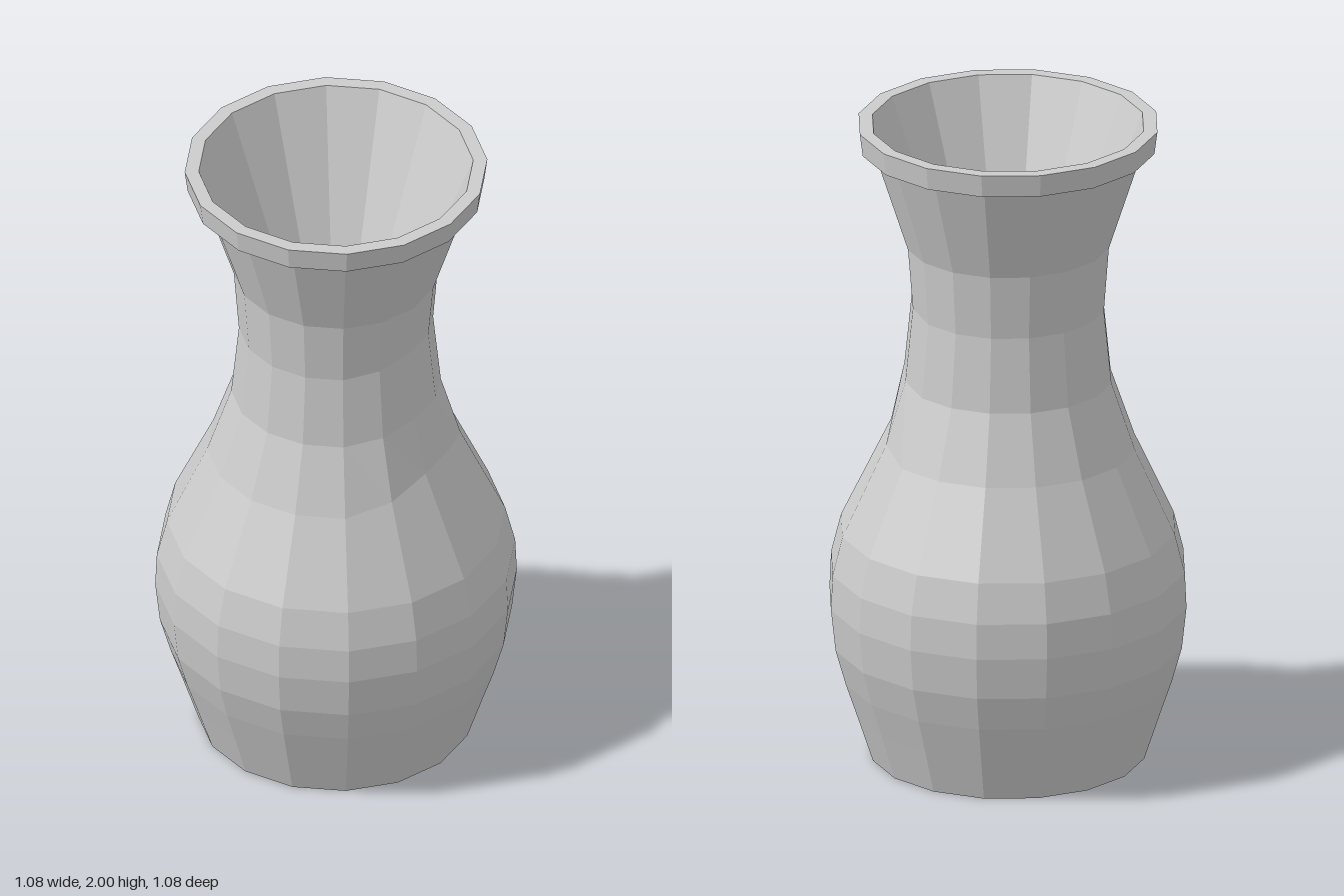
import * as THREE from 'three';

const SIDES = 16;

// Revolves a [radius, height] profile into a faceted surface
function lathe(name, profile, material) {
  const points = profile.map(([r, y]) => new THREE.Vector2(r, y));
  const mesh = new THREE.Mesh(new THREE.LatheGeometry(points, SIDES), material);
  mesh.name = name;
  return mesh;
}

export function createModel() {
  const group = new THREE.Group();
  group.name = 'vase';
  const material = new THREE.MeshStandardMaterial({ color: 0xcccccc, flatShading: true });

  // Base, round belly and narrow neck
  const body = lathe('body', [
    [0, 0], [0.412, 0], [0.458, 0.14], [0.495, 0.25], [0.526, 0.36], [0.54, 0.49],
    [0.535, 0.6], [0.505, 0.72], [0.385, 0.98], [0.313, 1.19], [0.29, 1.42],
    [0.305, 1.62], [0.405, 1.93],
  ], material);

  // Slightly uneven shoulder and neck rings on the left side
  const pos = body.geometry.attributes.position;
  for (let i = 0; i < pos.count; i++) {
    const x = pos.getX(i), y = pos.getY(i), z = pos.getZ(i);
    const near = Math.max(0, Math.cos(2 * (Math.atan2(z, x) - 0.2)));
    if (x <= 0 || y < 0.9 || y > 1.5) continue;
    const lift = y < 1 ? 0.06 : 0.03;
    const squeeze = y < 1 ? 1 - 0.09 * near : 1;
    pos.setXYZ(i, x * squeeze, y + lift * near, z * squeeze);
  }
  group.add(body);

  // Collar around the mouth
  group.add(lathe('rim', [[0.405, 1.93], [0.443, 1.93], [0.452, 2], [0.41, 2]], material));

  // Funnel-shaped inside with a small floor
  group.add(lathe('inside', [[0.41, 2], [0.113, 1.25], [0, 1.25]], material));

  return group;
}
